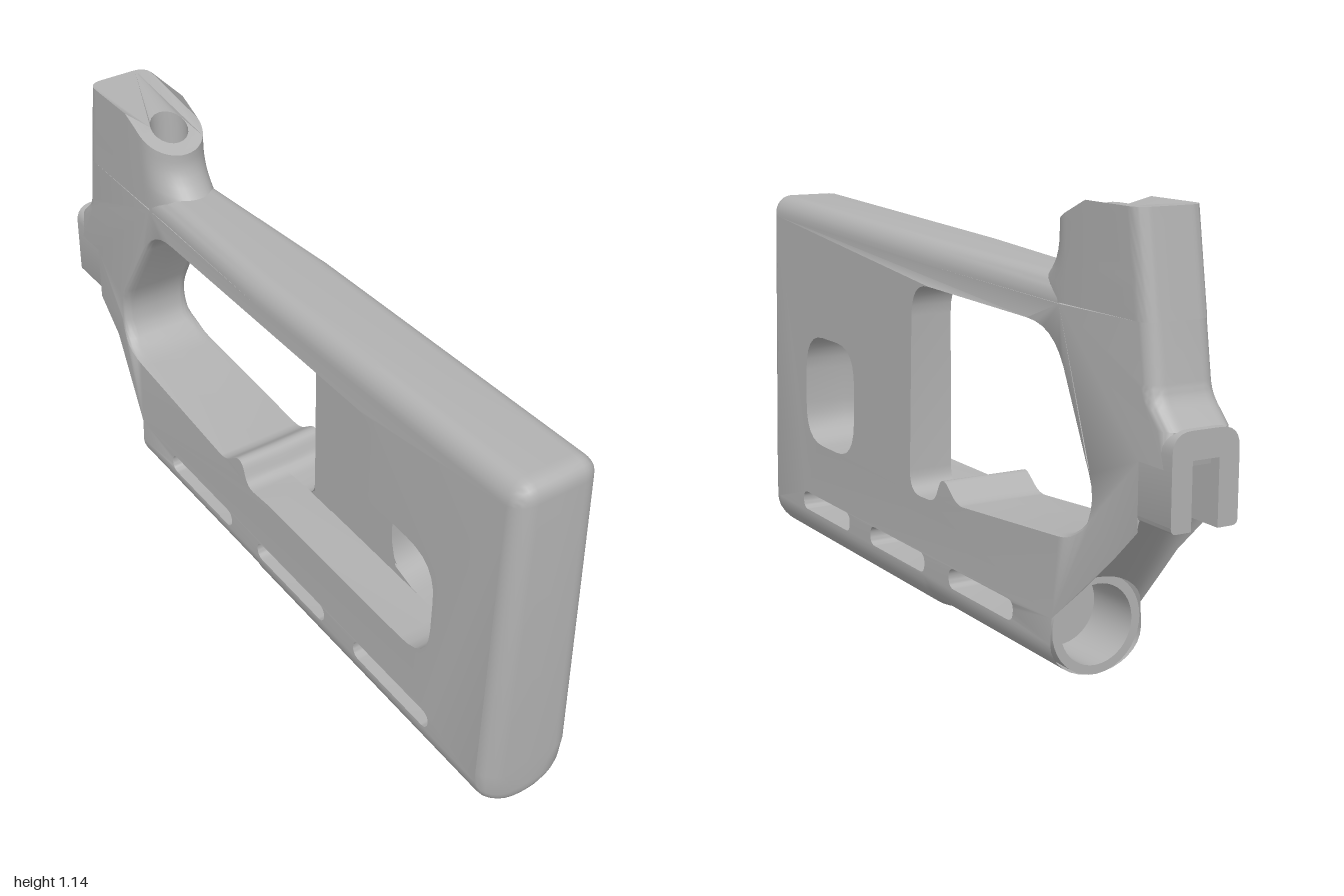
import * as THREE from 'three';
import { toCreasedNormals } from 'three/addons/utils/BufferGeometryUtils.js';

const clamp = THREE.MathUtils.clamp, lerp = THREE.MathUtils.lerp;
const V = (z, y) => new THREE.Vector2(z, y);

// Polygon [z, y, radius] with its corners rounded off
function rounded(corners) {
  const out = [], n = corners.length;
  corners.forEach(([z, y, r = 0], i) => {
    const p = V(z, y);
    if (!r) return out.push(p);
    const a = V(...corners[(i + n - 1) % n]), b = V(...corners[(i + 1) % n]);
    const from = p.clone().add(a.sub(p).setLength(r));
    const to = p.clone().add(b.sub(p).setLength(r));
    out.push(...new THREE.QuadraticBezierCurve(from, p, to).getPoints(6));
  });
  return out;
}

// Half thickness of the body: thinner upwards and towards the rear
function halfWidth(z, y) {
  const top = lerp(0.113, 0.086, clamp(-z / 0.5, 0, 1));
  const main = lerp(0.128, top, clamp((y - 0.13) / 0.82, 0, 1));
  return Math.min(main, lerp(0.128, 0.088, clamp((-0.6 - z) / 0.17, 0, 1)));
}

// Rim section of the outline: side point, middle point and depth of the rounding
function outerRim({ x: z, y }) {
  const w = halfWidth(z, Math.max(y, 0.105));
  if (z <= -0.6 && y >= 0.17 && y < 0.45)          // hollow sloping underside
    return { side: V(z, y), mid: V(z, y + 0.08), w, bx: w };
  if (z < -0.8 && y > 0.65)                          // rounded rear edge
    return { side: V(z + 0.04, y), mid: V(z, y), w, bx: 0.04 };
  if (z < -0.57 && y > 0.105) return { side: V(z, y), mid: V(z, y), w, bx: 0 };
  const top = 0.96 + 0.042 * (z + 0.5) - 0.06;
  return {
    side: V(Math.min(z, 0.955), clamp(y, 0.105, top)), mid: V(z, y), w,
    bx: lerp(0.05, w, clamp((0.105 - y) / 0.09, 0, 1)),
  };
}

// Rim section of an opening, softened around the grip
function innerRim({ x: z, y }) {
  const soft = clamp((-0.42 - z) / 0.18, 0, 1);
  return { side: V(z - 0.02 * soft, y), mid: V(z, y), w: halfWidth(z, y), bx: 0.03 * soft };
}

// One half of the body, from its side face to the middle plane
function halfBody(outline, openings, s) {
  const pos = [], STEPS = 8;
  const tri = (a, b, c) => { for (const p of s < 0 ? [a, b, c] : [a, c, b]) pos.push(...p); };
  const loops = [outline, ...openings].map((pts, i) => {
    const p = pts.slice();
    if (THREE.ShapeUtils.isClockWise(p) === (i === 0)) p.reverse();
    return p.map(i === 0 ? outerRim : innerRim);
  });
  // Side face
  const sides = loops.map(l => l.map(r => r.side));
  const flat = loops.flat().map(r => [s * r.w, r.side.y, r.side.x]);
  for (const [a, b, c] of THREE.ShapeUtils.triangulateShape(sides[0], sides.slice(1)))
    tri(flat[a], flat[b], flat[c]);
  // Rim walls
  const section = r => {
    const pts = [];
    for (let k = 0; k <= STEPS; k++) {
      const a = k / STEPS * Math.PI / 2;
      const p = r.side.clone().lerp(r.mid, Math.sin(a));
      pts.push([s * (r.w - r.bx + r.bx * Math.cos(a)), p.y, p.x]);
    }
    pts.push([0, r.mid.y, r.mid.x]);
    return pts;
  };
  for (const loop of loops) {
    loop.forEach((r, i) => {
      const q = loop[(i + 1) % loop.length];
      if (r.mid.x === -0.6 && q.mid.x === -0.6) return; // open end of the tube
      const A = section(r), B = section(q);
      for (let k = 0; k <= STEPS; k++) {
        tri(A[k], A[k + 1], B[k]);
        tri(B[k], A[k + 1], B[k + 1]);
      }
    });
  }
  const g = new THREE.BufferGeometry();
  g.setAttribute('position', new THREE.Float32BufferAttribute(pos, 3));
  return toCreasedNormals(g, 0.6);
}

export function createModel() {
  const group = new THREE.Group();
  const grey = new THREE.MeshStandardMaterial({ color: 0xb2b2b2, side: THREE.DoubleSide });
  grey.name = 'grey';
  const add = (name, geometry) => {
    const mesh = new THREE.Mesh(geometry, grey);
    mesh.name = name;
    group.add(mesh);
    return mesh;
  };

  // Body outline and openings in (z, y)
  const outline = rounded([
    [1, 0, 0.06], [1, 0.14], [1, 1.023, 0.05], [0, 0.981], [-0.56, 0.957], [-0.56, 0.9],
    [-0.9, 0.9], [-0.925, 0.74, 0.03], [-0.985, 0.68], [-0.97, 0.6], [-0.88, 0.6],
    [-0.88, 0.44], [-0.79, 0.355], [-0.7, 0.265], [-0.6, 0.17], [-0.6, 0.012],
    [0, 0.012], [0.02, 0],
  ]);
  const slots = [[0.77, 0.46], [0.33, 0.015], [-0.115, -0.43]].map(([a, b]) =>
    rounded([[a, 0.11, 0.026], [a, 0.163, 0.026], [b, 0.163, 0.026], [b, 0.11, 0.026]]));
  const grip = [
    [-0.53, 0.845, 0.1], [-0.735, 0.48, 0.1], [-0.67, 0.375, 0.08], [-0.15, 0.332, 0.03],
    [-0.07, 0.395, 0.04], [-0.035, 0.315, 0.03],
  ];
  const window_ = rounded([...grip, [0.1, 0.31, 0.06], [0.1, 0.87, 0.09]]);
  const squareHole = rounded([
    [0.75, 0.64, 0.11], [0.75, 0.323, 0.11], [0.435, 0.323, 0.11], [0.435, 0.64, 0.11]]);
  const pocket = rounded([...grip, [0.06, 0.323], [0.75, 0.323, 0.11], [0.75, 0.64, 0.11],
    [0.49, 0.645, 0.02], [0.49, 0.88, 0.06]]);
  add('bodyLeftHalf', halfBody(outline, [window_, squareHole, ...slots], 1));
  add('bodyRightHalf', halfBody(outline, [pocket, ...slots], -1));

  // Inner wall of the side pocket
  const wall = new THREE.Shape(rounded([[0.1, 0.325], [0.1, 0.875], [0.495, 0.885], [0.51, 0.64],
    [0.455, 0.62], [0.435, 0.54], [0.435, 0.42], [0.455, 0.345], [0.53, 0.323]]));
  add('pocketWall', new THREE.ShapeGeometry(wall).rotateY(-Math.PI / 2));

  // Open rear end of the lower tube
  const ring = new THREE.Shape().absarc(0, 0, 0.123, 0, Math.PI * 2);
  ring.holes.push(new THREE.Path().absarc(0, 0, 0.1, 0, Math.PI * 2, true));
  const tube = new THREE.ExtrudeGeometry(ring, { depth: 0.16, bevelEnabled: false, curveSegments: 20 });
  add('tubeEnd', toCreasedNormals(tube, 0.6)).position.set(0, 0.134, -0.6);
  const floor = add('tubeFloor', new THREE.CircleGeometry(0.102, 32));
  floor.rotation.y = Math.PI;
  floor.position.set(0, 0.134, -0.441);

  // Tower with a bolt hole, plan drawn in (x, -z)
  const R = 0.088, C = 0.585;
  const plan = new THREE.Shape();
  plan.absarc(0, C, R, Math.PI, Math.PI * 2);
  plan.lineTo(R, 0.66);
  plan.lineTo(R, 0.82);
  plan.quadraticCurveTo(R, 0.86, R - 0.04, 0.86);
  plan.lineTo(-R + 0.04, 0.86);
  plan.quadraticCurveTo(-R, 0.86, -R, 0.82);
  plan.lineTo(-R, 0.66);
  plan.holes.push(new THREE.Path().absarc(0, C, 0.05, 0, Math.PI * 2, true));
  const tower = new THREE.ExtrudeGeometry(plan, { depth: 1, steps: 8, bevelEnabled: false, curveSegments: 10 });
  tower.rotateX(-Math.PI / 2);
  const p = tower.attributes.position;
  for (let i = 0; i < p.count; i++) {
    const x = p.getX(i), z = p.getZ(i);
    const y = lerp(0.9, Math.min(1.14, 1.07 + (-0.5 - z) * 0.44), p.getY(i));
    let dz = -(1.14 - y) * 0.167 * clamp((-0.62 - z) / 0.24, 0, 1);   // leaning back
    if (z > -C && Math.hypot(x, z + C) > 0.06)                          // flared foot
      dz += (z + C) / R * 0.09 * clamp((1.05 - y) / 0.11, 0, 1) ** 2;
    p.setXYZ(i, x, y, z + dz);
  }
  add('tower', toCreasedNormals(tower, 0.6));

  // Rear lug with a slot open below
  const lug = new THREE.Shape(rounded([
    [0.035, 0.465], [0.088, 0.465, 0.015], [0.088, 0.685, 0.05], [-0.088, 0.685, 0.05],
    [-0.088, 0.465, 0.015], [-0.035, 0.465], [-0.035, 0.62], [0.035, 0.62]]));
  const lugGeometry = new THREE.ExtrudeGeometry(lug, { depth: 0.17, bevelEnabled: false });
  add('rearLug', toCreasedNormals(lugGeometry, 0.6)).position.z = -1;

  return group;
}
